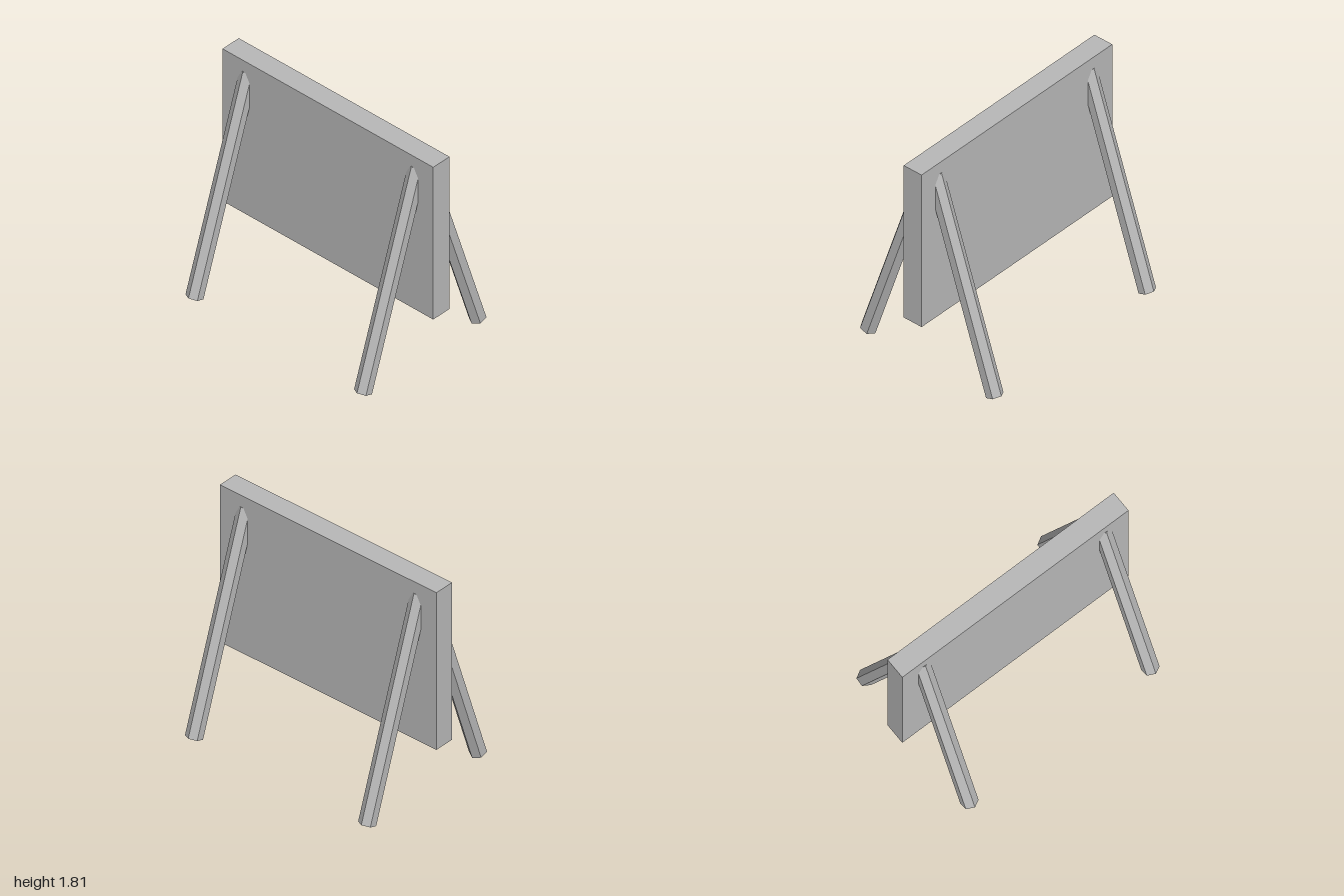
import * as THREE from 'three';

export function createModel() {
  const model = new THREE.Group();
  const grey = new THREE.MeshStandardMaterial({ color: 0xb8b8b8, flatShading: true });
  grey.name = 'plain grey';

  // Thick upright board
  const board = new THREE.Mesh(new THREE.BoxGeometry(2, 1.33, 0.166), grey);
  board.name = 'board';
  board.position.y = 1.14;
  model.add(board);

  // Hexagonal legs, splayed to front and back, their tops buried in the board
  const tilt = THREE.MathUtils.degToRad(18.4);
  const length = 1.758;
  const legGeometry = new THREE.CylinderGeometry(0.065, 0.065, length, 6);
  legGeometry.translate(0, length / 2, 0); // pivot at the foot

  for (const [sideName, x] of [['Left', 0.8], ['Right', -0.8]]) {
    for (const [endName, dir] of [['front', 1], ['back', -1]]) {
      const leg = new THREE.Mesh(legGeometry, grey);
      leg.name = `${endName}${sideName}Leg`;
      leg.position.set(x, 0.0205, 0.585 * dir);
      leg.rotation.x = -tilt * dir;
      model.add(leg);
    }
  }
  return model;
}
